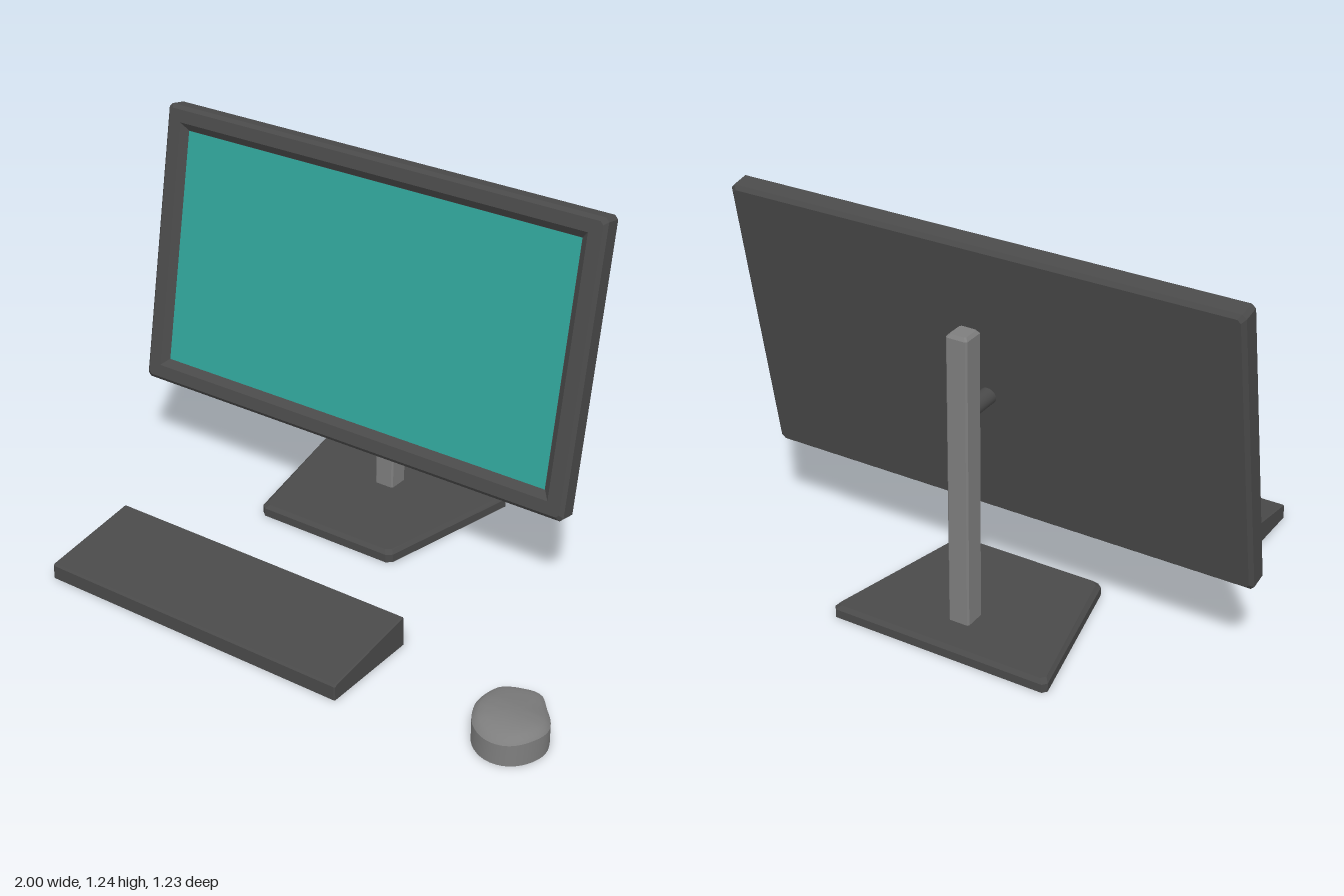
import * as THREE from 'three';
import { toCreasedNormals } from 'three/addons/utils/BufferGeometryUtils.js';

const V = (x, y, z) => new THREE.Vector3(x, y, z);

// Skin a stack of equal-length rings (counterclockwise about the stacking direction) and cap the ends.
function loft(rings, crease = 0.5) {
  const n = rings[0].length;
  const pos = rings.flat().flatMap((p) => [p.x, p.y, p.z]);
  const index = [];
  for (let r = 0; r < rings.length - 1; r++) {
    for (let i = 0; i < n; i++) {
      const a = r * n + i, b = r * n + (i + 1) % n;
      index.push(a, b, b + n, a, b + n, a + n);
    }
  }
  const last = (rings.length - 1) * n;
  for (const [ring, start, flip] of [[rings[0], 0, true], [rings.at(-1), last, false]]) {
    const c = ring.reduce((s, p) => s.add(p), V(0, 0, 0)).divideScalar(n);
    const k = pos.length / 3;
    pos.push(c.x, c.y, c.z);
    for (let i = 0; i < n; i++) {
      const a = start + i, b = start + (i + 1) % n;
      index.push(k, flip ? b : a, flip ? a : b);
    }
  }
  const geo = new THREE.BufferGeometry();
  geo.setAttribute('position', new THREE.Float32BufferAttribute(pos, 3));
  geo.setIndex(index);
  return toCreasedNormals(geo, crease);
}

// Quadrilateral with clipped corners, half widths a (at -v) and b (at +v), half height h.
function clipped(a, b, h, c) {
  const s = (b - a) / (2 * h) * c;
  return [[a - c, -h], [a + s, -h + c], [b - s, h - c], [b - c, h],
    [c - b, h], [s - b, h - c], [-a - s, -h + c], [c - a, -h]];
}
const facingZ = (pts, z) => pts.map(([u, v]) => V(u, v, z));
const facingY = (pts, y) => pts.map(([u, v]) => V(u, y, -v));

// Linear interpolation through [position, value] pairs.
function sample(table, t) {
  for (let i = 1; i < table.length; i++) {
    const [t0, v0] = table[i - 1], [t1, v1] = table[i];
    if (t <= t1 || i === table.length - 1) {
      return THREE.MathUtils.lerp(v0, v1, THREE.MathUtils.clamp((t - t0) / (t1 - t0), 0, 1));
    }
  }
}

export function createModel() {
  const material = (name, color) => new THREE.MeshStandardMaterial({ name, color });
  const dark = material('dark plastic', 0x4a4a4a);
  const grey = material('grey plastic', 0x7e7e7e);
  const teal = material('teal screen', 0x30a399);

  const model = new THREE.Group();
  model.name = 'desktopComputer';
  const add = (name, geo, mat, parent = model) => {
    const mesh = new THREE.Mesh(geo, mat);
    mesh.name = name;
    parent.add(mesh);
    return mesh;
  };
  const cx = -0.1725;

  // Tilted monitor: bevelled case with a sloping recess around the screen
  const monitor = new THREE.Group();
  monitor.name = 'monitor';
  monitor.position.set(cx, 0.772, -0.295);
  monitor.rotation.x = -0.184;
  model.add(monitor);
  const caseRings = [
    [1.631, 0.928, -0.038, 0.01], [1.655, 0.952, -0.027, 0.012],
    [1.655, 0.952, 0.027, 0.012], [1.631, 0.928, 0.038, 0.01],
    [1.54, 0.844, 0.038, 0.001], [1.49, 0.794, 0.016, 0.001],
  ].map(([w, h, z, c]) => facingZ(clipped(w / 2, w / 2, h / 2, c), z));
  add('monitorCase', loft(caseRings, 0.3), dark, monitor);
  add('screen', new THREE.PlaneGeometry(1.49, 0.794), teal, monitor).position.z = 0.018;

  // Stand: tapered foot, upright post and short round arm
  const footRings = [[0, 0], [0, 0.028], [0.012, 0.04]].map(([inset, y]) =>
    facingY(clipped(0.26 - inset, 0.374 - inset, 0.2675 - inset, 0.015), y));
  add('standFoot', loft(footRings, 0.3), dark).position.set(cx, 0, -0.3475);
  const postRings = [[0, 0.004], [0, 0.982], [0.008, 0.992]].map(([inset, y]) =>
    facingY(clipped(0.035 - inset, 0.035 - inset, 0.0375 - inset, 0.005), y));
  add('standPost', loft(postRings, 0.3), grey).position.set(cx - 0.002, 0, -0.4575);
  const arm = add('standArm', new THREE.CylinderGeometry(0.027, 0.027, 0.14, 20), dark);
  arm.rotation.x = Math.PI / 2;
  arm.position.set(cx - 0.002, 0.73, -0.36);

  // Keyboard: wedge profile swept along x with a fine edge bevel
  const wedge = [[0.61, 0], [0.26, 0], [0.26, 0.096], [0.266, 0.101], [0.604, 0.051], [0.61, 0.046]];
  const keyboardRings = [[-0.725, 0.97], [-0.72, 1], [0.375, 1], [0.38, 0.97]].map(([x, s]) =>
    wedge.map(([z, y]) => V(x, y * s, 0.435 + (z - 0.435) * (s === 1 ? 1 : 0.985))));
  add('keyboard', loft(keyboardRings, 0.3), dark);

  // Mouse: slanted egg outline, upright wall and domed top falling away to the rear
  const outline = new THREE.CatmullRomCurve3([
    [0.865, 0.275], [0.81, 0.285], [0.762, 0.322], [0.76, 0.44], [0.775, 0.49], [0.805, 0.543],
    [0.85, 0.576], [0.895, 0.586], [0.945, 0.572], [0.985, 0.527], [1.0, 0.465], [0.982, 0.41], [0.93, 0.342],
  ].map(([x, z]) => V(x, 0, z)), true).getSpacedPoints(48).slice(0, -1);
  const crown = [[0.275, 0.048], [0.35, 0.066], [0.42, 0.086], [0.47, 0.095], [0.52, 0.099], [0.59, 0.092]];
  const mouseRings = [[1, 0], [1, 0.74], [0.94, 0.83], [0.84, 0.9], [0.68, 0.95], [0.45, 0.985], [0.2, 1]]
    .map(([s, f]) => outline.map((p) => {
      const x = 0.88 + (p.x - 0.88) * s, z = 0.45 + (p.z - 0.45) * s;
      return V(x, sample(crown, z) * f, z);
    }));
  add('mouse', loft(mouseRings, 0.6), grey);

  return model;
}
